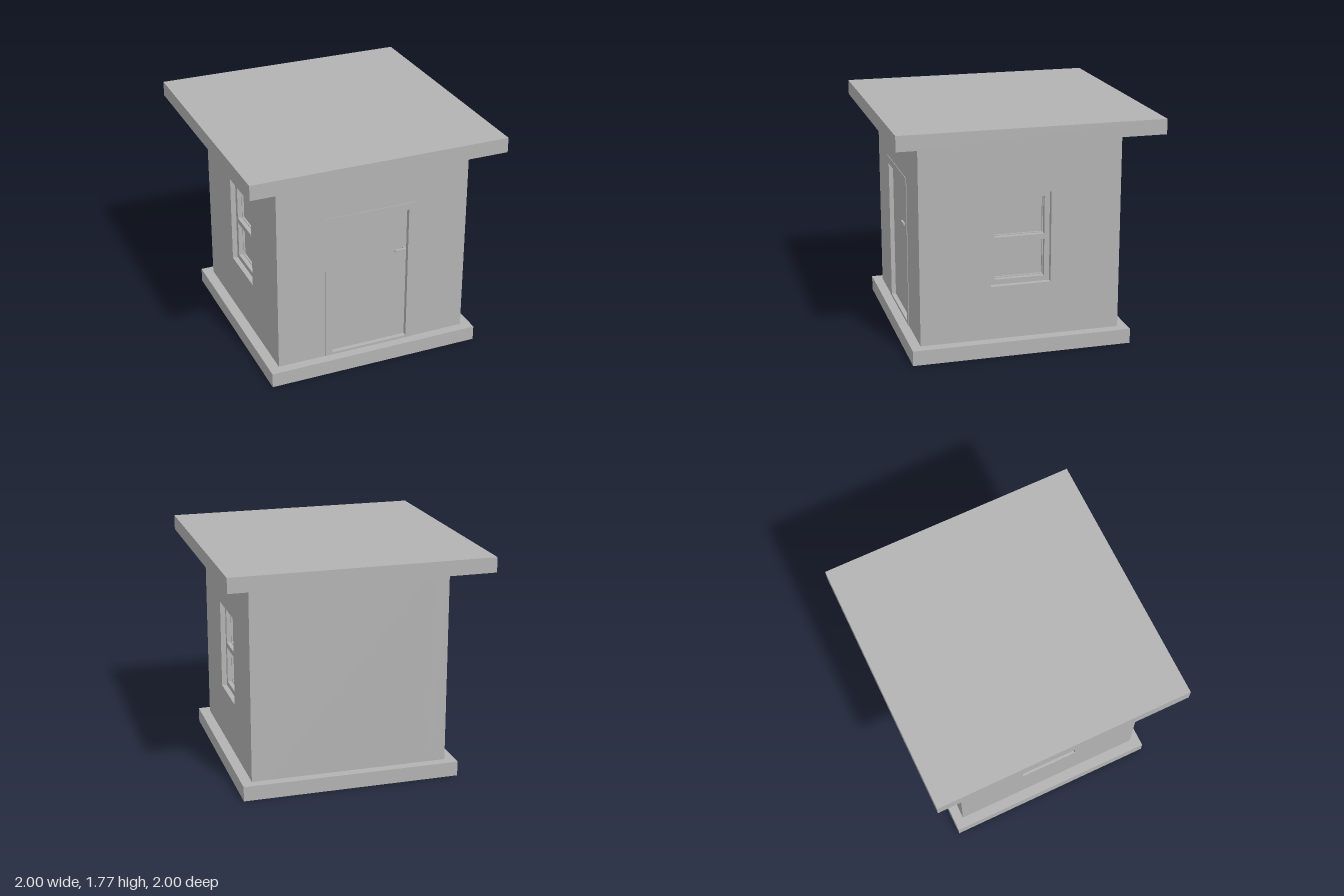
import * as THREE from 'three';

export function createModel() {
  const model = new THREE.Group();
  const grey = new THREE.MeshStandardMaterial({ color: 0xb3b3b3 });
  grey.name = 'plain grey';

  function add(name, geometry, parent = model) {
    const mesh = new THREE.Mesh(geometry, grey);
    mesh.name = name;
    parent.add(mesh);
    return mesh;
  }

  // Box given by its limits on each axis
  function box(name, [x0, x1], [y0, y1], [z0, z1], parent) {
    const mesh = add(name, new THREE.BoxGeometry(x1 - x0, y1 - y0, z1 - z0), parent);
    mesh.position.set((x0 + x1) / 2, (y0 + y1) / 2, (z0 + z1) / 2);
    return mesh;
  }

  // Rectangle [a0, a1, b0, b1] with rectangular holes, extruded along +z
  function plate([a0, a1, b0, b1], holes, depth) {
    const corners = (c0, c1, d0, d1) => [[c0, d0], [c1, d0], [c1, d1], [c0, d1]]
      .map(([x, y]) => new THREE.Vector2(x, y));
    const shape = new THREE.Shape(corners(a0, a1, b0, b1));
    for (const h of holes) shape.holes.push(new THREE.Path(corners(...h).reverse()));
    return new THREE.ExtrudeGeometry(shape, { depth, bevelEnabled: false });
  }

  const X = [-0.74, 0.79], Y = [0.115, 1.66], Z = [-0.735, 0.805];
  const thick = 0.12;

  // Floor slab and flat roof
  box('baseSlab', [-0.82, 0.87], [0, Y[0]], [-0.81, 0.88]);
  box('roofSlab', [-1, 1], [Y[1], 1.775], [-1, 1]);

  // Front and back walls fit between the side walls
  const inner = [X[0] + thick, X[1] - thick];
  const doorway = [-0.305, 0.31, 0.135, 1.235];
  add('frontWall', plate([...inner, ...Y], [doorway], thick)).position.z = Z[1] - thick;
  box('backWall', inner, Y, [Z[0], Z[0] + thick]);

  // Door with a shallow surround and a lever handle
  const door = new THREE.Group();
  door.name = 'door';
  model.add(door);
  add('doorSurround', plate([-0.36, 0.37, Y[0], 1.29], [doorway], 0.004), door).position.z = Z[1];
  box('doorLeaf', [-0.305, 0.31], [0.135, 1.235], [0.735, 0.775], door);
  box('handleLever', [0.2, 0.29], [0.9, 0.915], [0.803, 0.818], door);
  box('handleStem', [0.275, 0.29], [0.9, 0.915], [0.775, 0.803], door);

  // Side walls, each with a two-pane recessed window; plate x runs along -z
  const opening = [-0.265, 0.195, 0.53, 1.23];
  const panes = [[-0.23, 0.155, 0.57, 0.857], [-0.23, 0.155, 0.898, 1.19]];
  const inset = ([a, b, c, d], m) => [a + m, b - m, c + m, d - m];

  for (const [side, face] of [['right', X[0]], ['left', X[1]]]) {
    const s = Math.sign(face);
    const group = new THREE.Group();
    group.name = side + 'Side';
    model.add(group);

    // Plate lying between two depths behind the outer wall face
    const layer = (name, outline, holes, near, far) => {
      const mesh = add(name, plate(outline, holes, far - near), group);
      mesh.rotation.y = Math.PI / 2;
      mesh.position.x = Math.min(face - s * near, face - s * far);
    };
    layer('wall', [-Z[1], -Z[0], ...Y], [opening], 0, thick);
    layer('windowFrame', opening, panes, 0.04, 0.1);
    for (const pane of panes) {
      layer('glazingBead', pane, [inset(pane, 0.007)], 0.075, 0.09);
      layer('windowPane', pane, [], 0.09, 0.1);
    }
  }

  return model;
}
